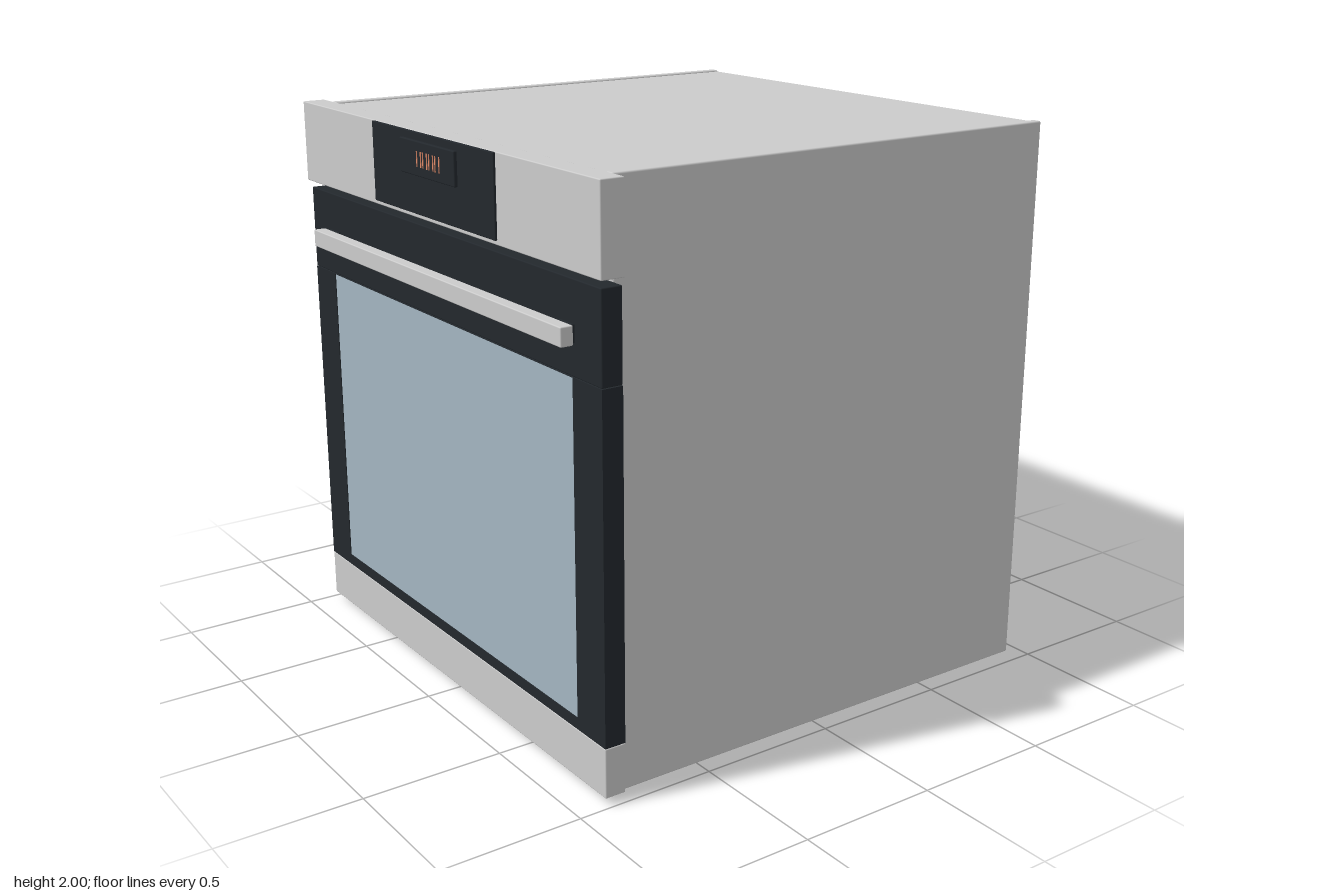
import * as THREE from 'three';
import { RoundedBoxGeometry } from 'three/addons/geometries/RoundedBoxGeometry.js';

const grey = new THREE.MeshStandardMaterial({ color: 0xcccccc });
const black = new THREE.MeshStandardMaterial({ color: 0x23282d });
const glass = new THREE.MeshStandardMaterial({ color: 0xa4b6c1 });
const amber = new THREE.MeshStandardMaterial({ color: 0xe08a68 });

export function createModel() {
  const oven = new THREE.Group();
  oven.name = 'builtInOven';

  const add = (name, geometry, material, parent = oven) => {
    const mesh = new THREE.Mesh(geometry, material);
    mesh.name = name;
    parent.add(mesh);
    return mesh;
  };
  // Softly rounded box given by its extents on each axis
  const block = (name, [x0, x1], [y0, y1], [z0, z1], material, radius = 0.004, parent = oven) => {
    const size = [x1 - x0, y1 - y0, z1 - z0];
    const geometry = radius
      ? new RoundedBoxGeometry(...size, 2, radius)
      : new THREE.BoxGeometry(...size);
    const mesh = add(name, geometry, material, parent);
    mesh.position.set((x0 + x1) / 2, (y0 + y1) / 2, (z0 + z1) / 2);
    return mesh;
  };

  // Housing: side walls, slightly recessed top and bottom, inset back and front
  const housing = new THREE.Group();
  housing.name = 'housing';
  oven.add(housing);
  for (const [name, x] of [['leftWall', [0.9, 0.935]], ['rightWall', [-0.935, -0.9]]]) {
    block(name, x, [0, 2], [-0.955, 0.82], grey, 0.006, housing);
  }
  block('topPanel', [-0.902, 0.902], [1.965, 1.994], [-0.955, 0.82], grey, 0.004, housing);
  block('bottomPanel', [-0.902, 0.902], [0.008, 0.035], [-0.955, 0.82], grey, 0.004, housing);
  block('backPanel', [-0.902, 0.902], [0.03, 1.97], [-0.945, -0.925], black, 0, housing);
  block('frontBulkhead', [-0.902, 0.902], [0.03, 1.97], [0.79, 0.812], black, 0, housing);

  // Control panel with glossy inset and clock
  const controls = new THREE.Group();
  controls.name = 'controlPanel';
  oven.add(controls);
  block('fascia', [-1, 1], [1.705, 2], [0.82, 0.905], grey, 0.004, controls);
  block('controlGlass', [-0.415, 0.415], [1.72, 1.998], [0.9, 0.913], black, 0.003, controls);
  block('clockFrame', [-0.19, 0.185], [1.855, 1.972], [0.91, 0.925], black, 0.004, controls);
  for (let i = 0; i < 4; i++) {
    for (const side of [0, 0.027]) {
      const x = -0.068 + i * 0.042 + side;
      block('clockSegment', [x, x + 0.005], [1.887, 1.94], [0.924, 0.927], amber, 0, controls);
    }
  }

  // Door: upper panel, frame around the window, lower trim
  const door = new THREE.Group();
  door.name = 'door';
  oven.add(door);
  block('doorUpperPanel', [-0.985, 0.985], [1.377, 1.68], [0.82, 0.895], black, 0.004, door);
  const frame = new THREE.Shape([
    [-0.985, 0.2], [0.985, 0.2], [0.985, 1.375], [-0.985, 1.375],
  ].map(p => new THREE.Vector2(...p)));
  frame.holes.push(new THREE.Path([
    [-0.825, 0.24], [-0.825, 1.373], [0.825, 1.373], [0.825, 0.24],
  ].map(p => new THREE.Vector2(...p))));
  add('doorFrame', new THREE.ExtrudeGeometry(frame, { depth: 0.075, bevelEnabled: false }), black, door)
    .position.z = 0.82;
  block('doorWindow', [-0.825, 0.825], [0.24, 1.374], [0.825, 0.892], glass, 0, door);
  block('doorLowerTrim', [-0.985, 0.985], [0.025, 0.199], [0.82, 0.895], grey, 0.004, door);

  // Handle bar on two dark mounts
  const handle = new THREE.Group();
  handle.name = 'handle';
  door.add(handle);
  block('handleBar', [-0.857, 0.857], [1.482, 1.545], [0.91, 0.955], grey, 0.004, handle);
  for (const x of [-0.8, 0.8]) {
    block('handleMount', [x - 0.04, x + 0.04], [1.485, 1.542], [0.89, 0.915], black, 0, handle);
  }

  return oven;
}
